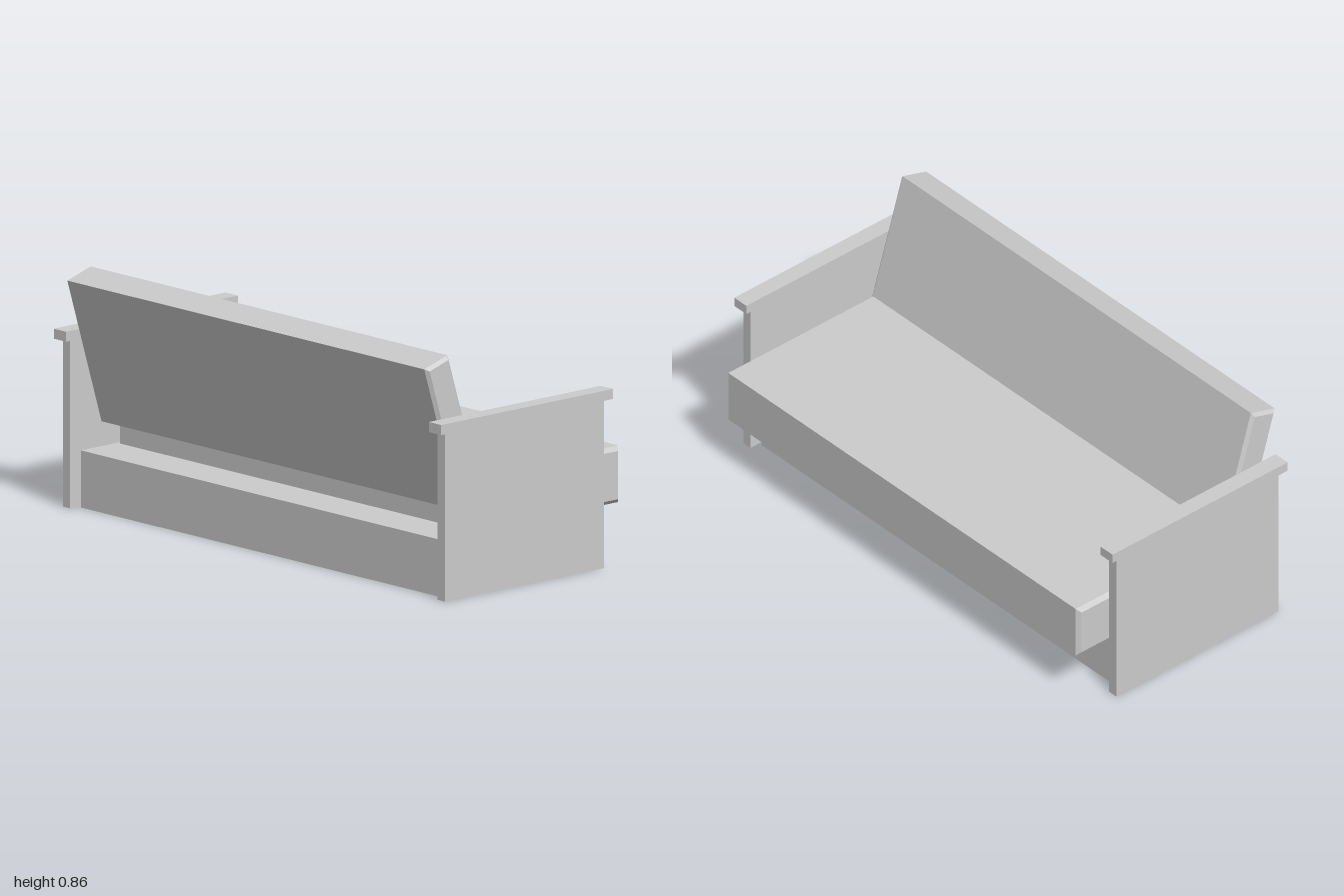
import * as THREE from 'three';

const material = new THREE.MeshStandardMaterial({ color: 0xcccccc, flatShading: true });

// Plain block given by its limits in x, y and z
function block(name, x0, x1, y0, y1, z0, z1) {
  const mesh = new THREE.Mesh(new THREE.BoxGeometry(x1 - x0, y1 - y0, z1 - z0), material);
  mesh.position.set((x0 + x1) / 2, (y0 + y1) / 2, (z0 + z1) / 2);
  mesh.name = name;
  return mesh;
}

// Cushion: box with one chamfer along every edge, centred on its origin
function cushion(name, width, height, length, chamfer) {
  const w = width / 2 - chamfer, h = height / 2 - chamfer;
  const shape = new THREE.Shape([
    new THREE.Vector2(-w, -h), new THREE.Vector2(w, -h),
    new THREE.Vector2(w, h), new THREE.Vector2(-w, h),
  ]);
  const geometry = new THREE.ExtrudeGeometry(shape, {
    depth: length - 2 * chamfer,
    bevelEnabled: true, bevelSegments: 1, bevelSize: chamfer, bevelThickness: chamfer,
  });
  geometry.center();
  const mesh = new THREE.Mesh(geometry, material);
  mesh.name = name;
  return mesh;
}

export function createModel() {
  const sofa = new THREE.Group();
  sofa.name = 'sofa';

  // Plinth under the seat
  sofa.add(block('base', -0.387, 0.292, 0, 0.205, -0.933, 0.933));

  // Seat cushion, overhanging the plinth at the open side
  const seat = cushion('seatCushion', 0.677, 0.203, 1.866, 0.015);
  seat.position.set(0.1235, 0.3065, 0);
  sofa.add(seat);

  // Leaning back cushion
  const back = cushion('backCushion', 0.115, 0.555, 1.866, 0.012);
  back.position.set(-0.326, 0.58, 0);
  back.rotation.z = THREE.MathUtils.degToRad(17);
  sofa.add(back);

  // Panel arms with a flat rail on top
  for (const [side, s] of [['front', 1], ['rear', -1]]) {
    const arm = new THREE.Group();
    arm.name = side + 'Arm';
    arm.add(
      block('armPanel', -0.424, 0.332, 0, 0.605, s * 0.967 - 0.019, s * 0.967 + 0.019),
      block('armRail', -0.454, 0.362, 0.605, 0.641, s * 0.968 - 0.032, s * 0.968 + 0.032),
    );
    sofa.add(arm);
  }
  return sofa;
}
